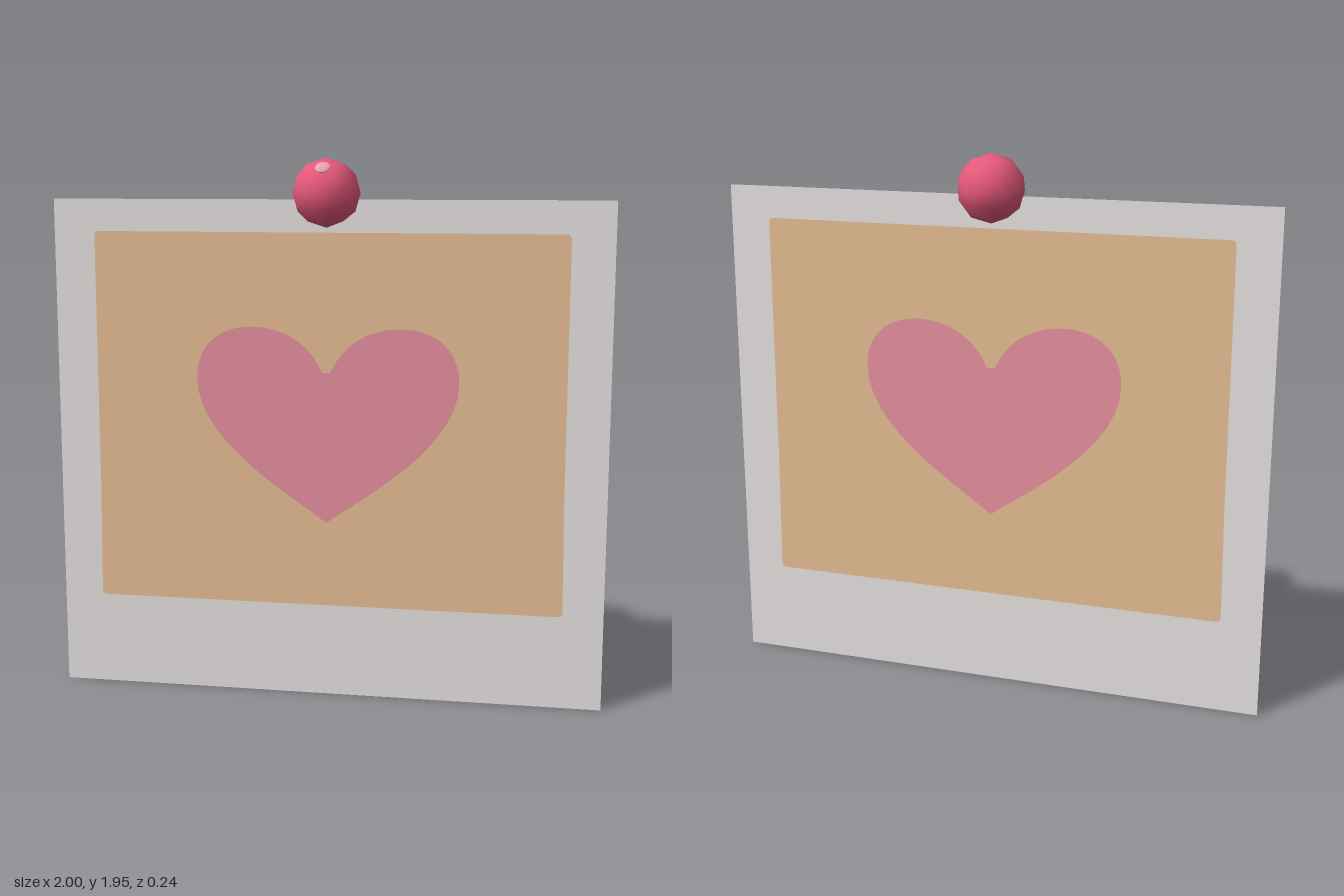
import * as THREE from 'three';

const flat = (name, color, side = THREE.FrontSide) => {
  const m = new THREE.MeshStandardMaterial({ color, side });
  m.name = name;
  return m;
};

// Picture panel: straight sides, slightly wider at the foot, small rounded corners
function pictureShape() {
  const s = new THREE.Shape();
  const x = 0.85, w = 0.855, top = 1.695, low = 0.34, r = 0.018;
  s.moveTo(-w + r, low);
  s.lineTo(w - r, low);
  s.quadraticCurveTo(w, low, w, low + r);
  s.lineTo(x, 0.77);
  s.lineTo(x, top - r);
  s.quadraticCurveTo(x, top, x - r, top);
  s.lineTo(-x + r, top);
  s.quadraticCurveTo(-x, top, -x, top - r);
  s.lineTo(-x, 0.77);
  s.lineTo(-w, low + r);
  s.quadraticCurveTo(-w, low, -w + r, low);
  return s;
}

function heartShape() {
  const s = new THREE.Shape();
  s.moveTo(0, 0.65);
  s.bezierCurveTo(0.1, 0.73, 0.475, 0.93, 0.475, 1.17);
  s.bezierCurveTo(0.475, 1.29, 0.39, 1.36, 0.27, 1.36);
  s.bezierCurveTo(0.15, 1.36, 0.06, 1.3, 0.015, 1.2);
  s.lineTo(-0.015, 1.2);
  s.bezierCurveTo(-0.06, 1.3, -0.15, 1.36, -0.27, 1.36);
  s.bezierCurveTo(-0.39, 1.36, -0.475, 1.29, -0.475, 1.17);
  s.bezierCurveTo(-0.475, 0.93, -0.1, 0.73, 0, 0.65);
  return s;
}

export function createModel() {
  const group = new THREE.Group();
  group.name = 'pinnedPhoto';
  const paper = flat('paper', 0xf4efee, THREE.DoubleSide);
  const tan = flat('pictureTan', 0xf4c99c);
  const pink = flat('heartPink', 0xf49aaa);
  const red = flat('pinRed', 0xe8597c);
  const shine = flat('pinShine', 0xf0a8b4);

  const add = (name, geometry, material) => {
    const mesh = new THREE.Mesh(geometry, material);
    mesh.name = name;
    group.add(mesh);
    return mesh;
  };

  // Paper card
  add('card', new THREE.PlaneGeometry(2, 1.81), paper).position.y = 0.905;

  // Picture and heart on both faces of the card
  for (const [label, turn, dir] of [['Front', 0, 1], ['Back', Math.PI, -1]]) {
    const picture = add('picture' + label, new THREE.ShapeGeometry(pictureShape(), 6), tan);
    const heart = add('heart' + label, new THREE.ShapeGeometry(heartShape(), 14), pink);
    picture.rotation.y = heart.rotation.y = turn;
    picture.position.z = 0.002 * dir;
    heart.position.z = 0.004 * dir;
  }

  // Round pin head
  const pin = add('pinHead', new THREE.IcosahedronGeometry(0.121, 1), red);
  pin.position.y = 1.833;
  pin.rotation.y = Math.PI / 2;

  // Pale glint on the upper front of the pin
  const out = new THREE.Vector3(0, 0.77, 0.64).normalize();
  const glint = add('pinGlint', new THREE.SphereGeometry(0.028, 16, 8), shine);
  glint.scale.z = 0.3;
  glint.quaternion.setFromUnitVectors(new THREE.Vector3(0, 0, 1), out);
  glint.position.copy(pin.position).addScaledVector(out, 0.113);

  return group;
}
